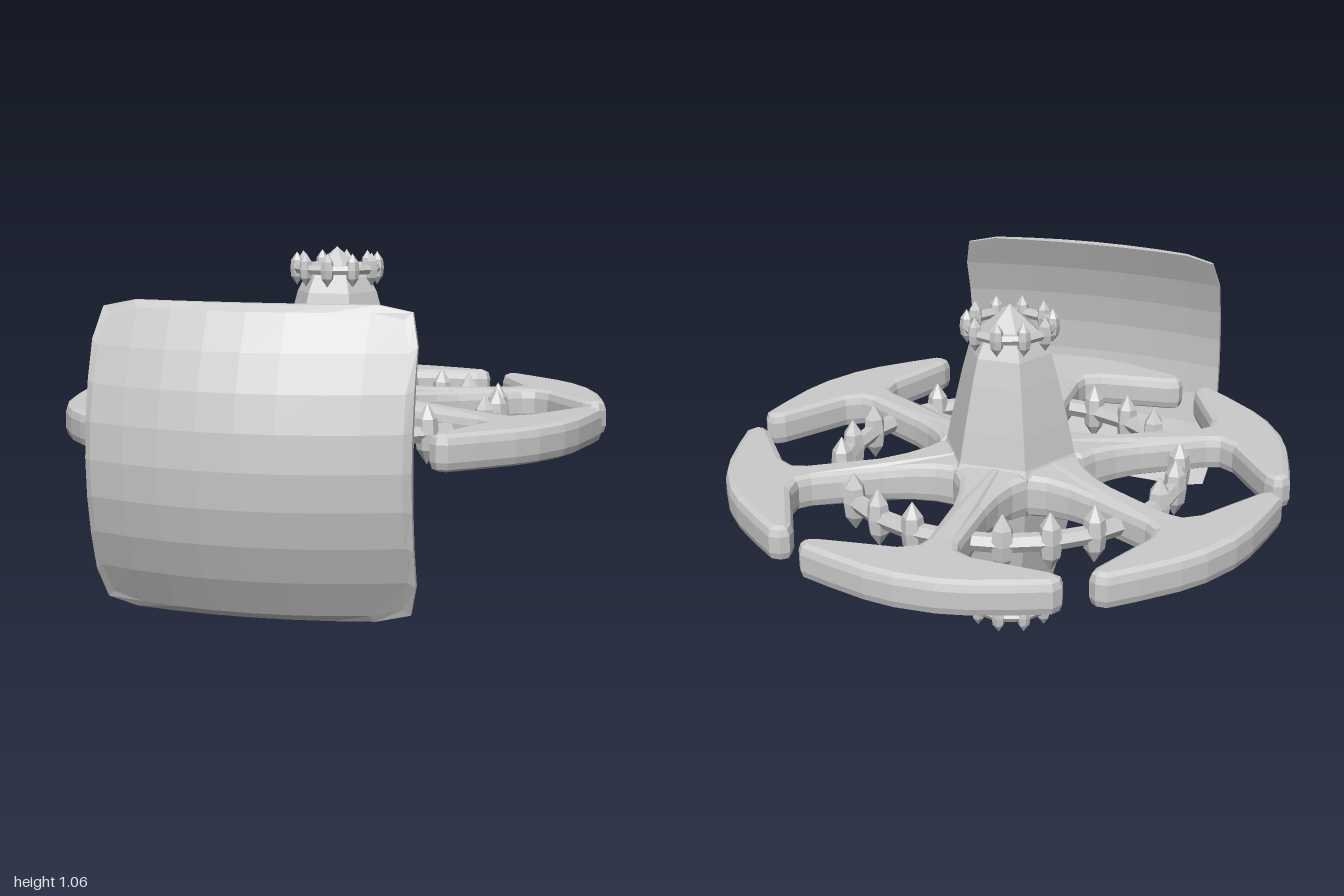
import * as THREE from 'three';

const HUB_Y = 0.537, HUB_Z = -0.13;

export function createModel() {
  const model = new THREE.Group();
  const mat = new THREE.MeshStandardMaterial({ color: 0xcccccc, flatShading: true });
  const add = (parent, name, geometry) => {
    const mesh = new THREE.Mesh(geometry, mat);
    mesh.name = name;
    parent.add(mesh);
    return mesh;
  };
  const lathe = (pts, sides, start = 0) =>
    new THREE.LatheGeometry(pts.map(([r, y]) => new THREE.Vector2(r, y)), sides, start);

  const station = new THREE.Group();
  station.name = 'station';
  station.position.set(0, HUB_Y, HUB_Z);
  model.add(station);

  // Six-sided spindle, tapering up and down, with pointed ends
  const upper = [[0.222, 0.04], [0.205, 0.075], [0.185, 0.17], [0.152, 0.31], [0.13, 0.39], [0.105, 0.438], [0.095, 0.45], [0, 0.532]];
  const lower = upper.map(([r, y]) => [r, -y]).reverse();
  add(station, 'spindle', lathe([...lower, ...upper], 6, Math.PI / 6));

  // Arms: anchor-shaped outline, thicker where it joins the hub
  const half = [
    [0.118, 0.2], [0.085, 0.25], [0.063, 0.32], [0.053, 0.4], [0.05, 0.62], [0.062, 0.66], [0.11, 0.685],
    [0.22, 0.694], [0.34, 0.705], [0.374, 0.72], [0.38, 0.748], [0.363, 0.778], [0.27, 0.812], [0.15, 0.85], [0.06, 0.866],
  ];
  const outline = [[0.03, 0.04], ...half, ...half.map(([x, r]) => [-x, r]).reverse(), [-0.03, 0.04]];
  const shape = new THREE.Shape(outline.map(([x, r]) => new THREE.Vector2(x, r)));
  const armGeo = new THREE.ExtrudeGeometry(shape, {
    depth: 0.05, bevelThickness: 0.029, bevelSize: 0.022, bevelOffset: -0.022, bevelSegments: 2,
  });
  armGeo.translate(0, 0, -0.025);
  armGeo.rotateX(Math.PI / 2);
  const p = armGeo.attributes.position;
  for (let i = 0; i < p.count; i++) {
    const r = Math.hypot(p.getX(i), p.getZ(i));
    p.setY(i, p.getY(i) * (1 + 0.5 * Math.max(0, (0.4 - r) / 0.4)));
  }
  armGeo.computeVertexNormals();
  for (let k = 0; k < 6; k++) add(station, 'arm', armGeo).rotation.y = k * Math.PI / 3;

  // Ring carrying evenly spaced double-pointed spikes
  const spikedRing = (name, y, radius, tube, count, spike, skip) => {
    const ring = new THREE.Group();
    ring.name = name;
    ring.position.y = y;
    station.add(ring);
    const band = new THREE.TorusGeometry(radius, tube, 6, count);
    band.rotateX(Math.PI / 2);
    band.rotateY(Math.PI / 2);
    add(ring, name + 'Band', band);
    for (let k = 0; k < count; k++) {
      if (skip && k % skip === 0) continue;
      const a = k / count * Math.PI * 2;
      const s = add(ring, name + 'Spike', spike);
      s.position.set(Math.sin(a) * radius, 0, Math.cos(a) * radius);
      s.rotation.y = a;
    }
  };
  const spikeGeo = (r, h) => lathe([[0, -h], [r * 0.85, -h * 0.5], [r, 0], [r * 0.85, h * 0.5], [0, h]], 6);
  spikedRing('outerRing', 0, 0.52, 0.028, 24, spikeGeo(0.036, 0.093), 4);
  for (const side of [1, -1]) {
    spikedRing(side > 0 ? 'topCollar' : 'bottomCollar', side * 0.463, 0.128, 0.016, 10, spikeGeo(0.022, 0.053));
  }

  // Shield: a slab bowed both ways, with clipped corners and chamfered rim
  const shieldGeo = new THREE.BoxGeometry(2, 2, 2, 8, 8, 2);
  const q = shieldGeo.attributes.position;
  for (let i = 0; i < q.count; i++) {
    let u = q.getX(i), v = q.getY(i);
    const w = q.getZ(i);
    if (Math.abs(u) === 1 && Math.abs(v) === 1) { u *= 0.955; v *= 0.955; }
    const outer = 1 - 0.09 * u * u - 0.13 * v * v;
    const inner = 0.92 - 0.05 * u * u - 0.11 * v * v;
    const inset = w > 0 ? 0.955 : 1;
    const t = w > 0 ? 1 : w < 0 ? 0 : 0.55;
    q.setXYZ(i, u * 0.455 * inset, 0.54 + v * 0.43 * inset, inner + (outer - inner) * t);
  }
  shieldGeo.computeVertexNormals();
  add(model, 'shield', shieldGeo);

  return model;
}
